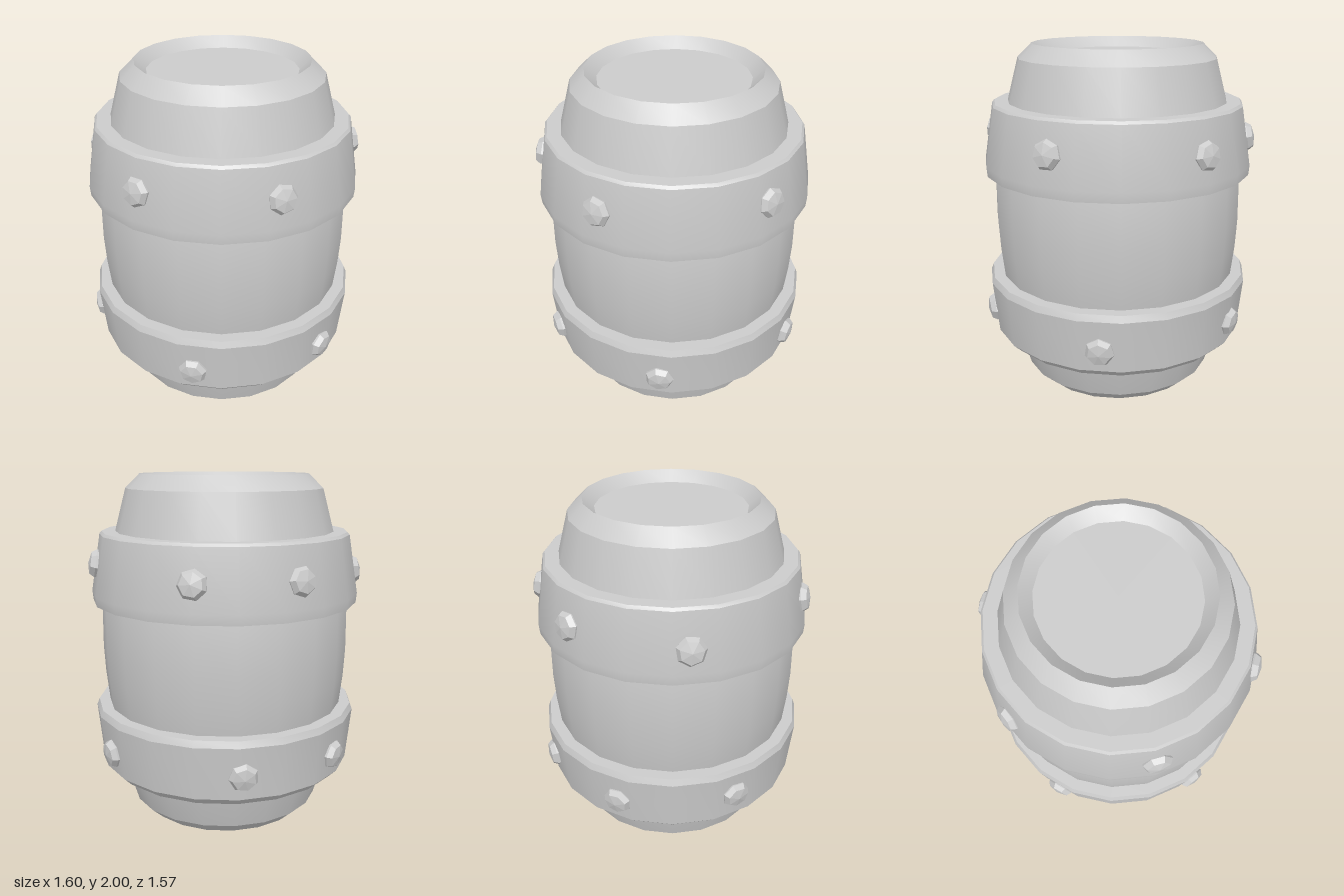
import * as THREE from 'three';
import { toCreasedNormals } from 'three/addons/utils/BufferGeometryUtils.js';

const SIDES = 20;
const CENTRE_X = -0.01, CENTRE_Z = -0.005;

export function createModel() {
  const model = new THREE.Group();
  model.name = 'barrel';
  const material = new THREE.MeshStandardMaterial({ color: 0xcccccc });
  const studMaterial = new THREE.MeshStandardMaterial({ color: 0xcccccc, flatShading: true });

  // Turned part with smooth sides and sharp ridges
  function turned(name, profile) {
    const points = profile.map(([r, y]) => new THREE.Vector2(r, y));
    const geometry = toCreasedNormals(new THREE.LatheGeometry(points, SIDES), 0.42);
    const mesh = new THREE.Mesh(geometry, material);
    mesh.name = name;
    mesh.position.set(CENTRE_X, 0, CENTRE_Z);
    model.add(mesh);
  }

  // Bulging body with chamfered rims and recessed ends
  turned('body', [
    [0, 0.06], [0.42, 0.06], [0.49, 0], [0.565, 0.07], [0.627, 0.28],
    [0.7, 0.67], [0.718, 0.84], [0.726, 1.0], [0.722, 1.28],
    [0.632, 1.68], [0.567, 1.92], [0.485, 2], [0.42, 1.94], [0, 1.94],
  ]);

  // Hoops, each leaning with the curve of the body
  turned('lowerHoop', [
    [0.6, 0.28], [0.705, 0.28], [0.75, 0.325], [0.78, 0.63], [0.765, 0.667], [0.66, 0.667],
  ]);
  turned('upperHoop', [
    [0.68, 1.28], [0.773, 1.28], [0.778, 1.335], [0.723, 1.665], [0.71, 1.68], [0.6, 1.68],
  ]);

  // Faceted seven-sided studs set around a hoop
  const studProfile = [[0.075, -0.04], [0.082, 0.006], [0.064, 0.034], [0, 0.046]]
    .map(([r, y]) => new THREE.Vector2(r, y));

  function studs(name, radius, tilt, places) {
    const group = new THREE.Group();
    group.name = name;
    places.forEach(([degrees, y], i) => {
      const angle = THREE.MathUtils.degToRad(degrees);
      const geometry = new THREE.LatheGeometry(studProfile, 7);
      geometry.rotateY(i * 0.7);
      const stud = new THREE.Mesh(geometry, studMaterial);
      stud.name = 'stud';
      stud.rotation.set(Math.PI / 2 - tilt, angle, 0, 'YXZ');
      stud.position.set(
        CENTRE_X + Math.sin(angle) * radius, y, CENTRE_Z + Math.cos(angle) * radius);
      group.add(stud);
    });
    model.add(group);
  }

  studs('upperStuds', 0.746, 0.165, [
    [1, 1.49], [60, 1.49], [132, 1.5], [198, 1.48], [242, 1.48], [295, 1.46],
  ]);
  studs('lowerStuds', 0.757, -0.1, [
    [24, 0.445], [85, 0.45], [153, 0.45], [218, 0.46], [264, 0.46], [316, 0.48],
  ]);

  return model;
}
